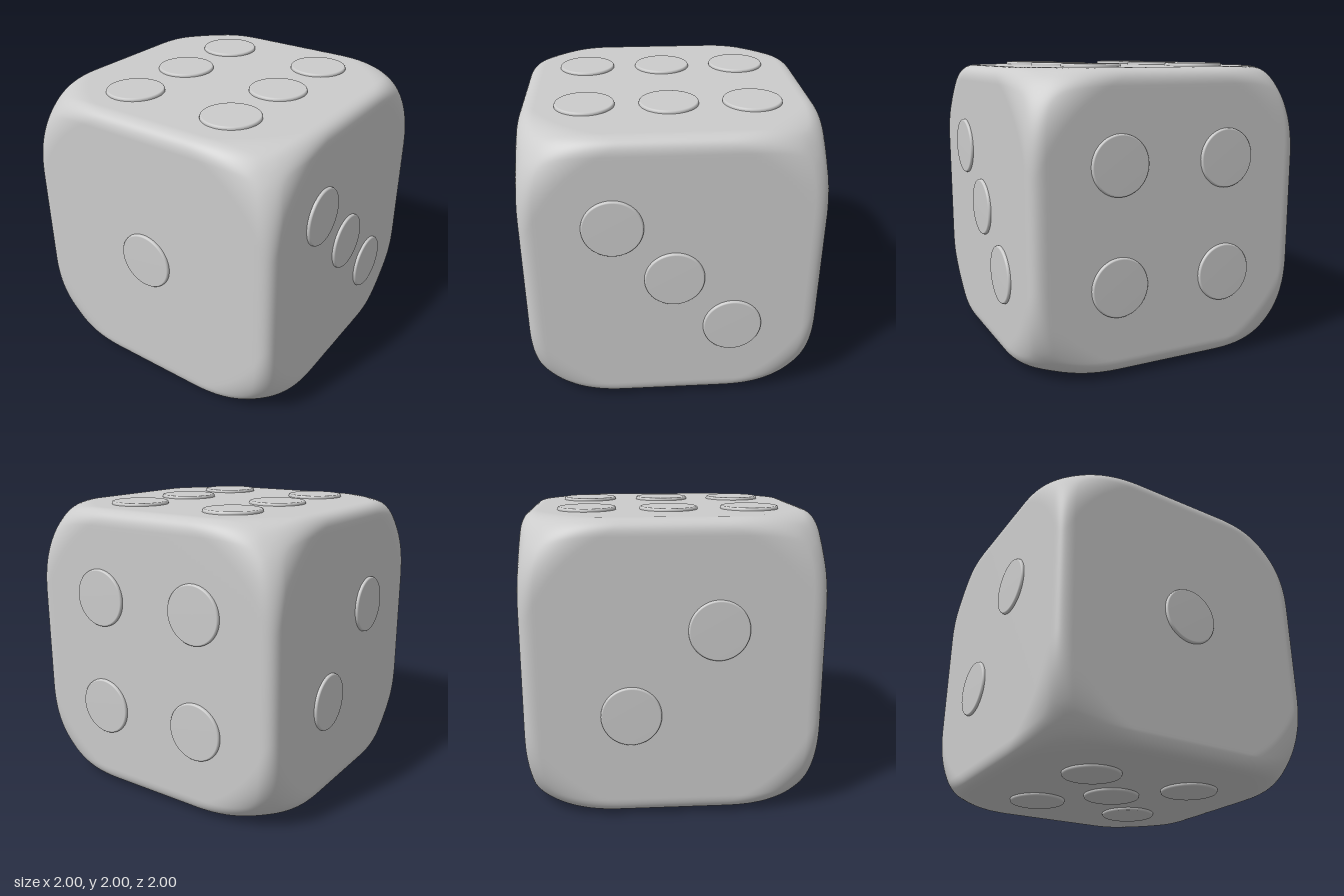
import * as THREE from 'three';

const HALF = 0.98;          // half width of the cube body
const EDGE = 0.11;          // width of the edge rounding
const BALL = 1.49;          // radius of the sphere that trims the corners
const BALL_BLEND = 0.1;     // softness of the corner trim
const material = new THREE.MeshStandardMaterial({ color: 0xcccccc });

// Maximum of two values with a rounded transition of width k
function smoothMax(a, b, k) {
  const h = Math.max(k - Math.abs(a - b), 0);
  return Math.max(a, b) + (h * h) / (4 * k);
}

// Field that is zero on the body: rounded cube trimmed by a sphere
function field(p) {
  const [a, b, c] = [Math.abs(p.x), Math.abs(p.y), Math.abs(p.z)].sort((m, n) => n - m);
  const cube = smoothMax(smoothMax(b, c, EDGE), a, EDGE) - HALF;
  return smoothMax(cube, p.length() - BALL, BALL_BLEND);
}

// Body: a fine cube grid pushed along its rays onto the field
function createBody() {
  const geometry = new THREE.BoxGeometry(2, 2, 2, 72, 72, 72);
  const pos = geometry.attributes.position;
  const normal = geometry.attributes.normal;
  const dir = new THREE.Vector3();
  const p = new THREE.Vector3();
  const n = new THREE.Vector3();
  const dense = (t) => 1.3 * t - 0.3 * t * t * t; // tighter grid near the edges
  const e = 1e-4;
  for (let i = 0; i < pos.count; i++) {
    dir.set(dense(pos.getX(i)), dense(pos.getY(i)), dense(pos.getZ(i)));
    let lo = 0.5, hi = 1.1;
    for (let j = 0; j < 30; j++) {
      const mid = (lo + hi) / 2;
      if (field(p.copy(dir).multiplyScalar(mid)) > 0) hi = mid;
      else lo = mid;
    }
    p.copy(dir).multiplyScalar(lo);
    pos.setXYZ(i, p.x, p.y, p.z);
    for (const axis of ['x', 'y', 'z']) {
      const v = p[axis];
      p[axis] = v + e;
      const up = field(p);
      p[axis] = v - e;
      n[axis] = up - field(p);
      p[axis] = v;
    }
    n.normalize();
    normal.setXYZ(i, n.x, n.y, n.z);
  }
  const body = new THREE.Mesh(geometry, material);
  body.name = 'body';
  return body;
}

// Pip: a low disc with a small rounded rim, rising along +y
function createPipGeometry() {
  const points = [[0.197, -0.02], [0.197, 0.006], [0.195, 0.013], [0.191, 0.018], [0.185, 0.02], [0, 0.02]];
  return new THREE.LatheGeometry(points.map(([r, y]) => new THREE.Vector2(r, y)), 64);
}

export function createModel() {
  const model = new THREE.Group();
  model.name = 'die';
  const core = new THREE.Group();
  core.name = 'dieCore';
  core.position.y = 1;
  core.add(createBody());

  const a = 0.39, b = 0.28, c = 0.55;
  const square = [[-a, -a], [a, -a], [-a, a], [a, a]];
  // Each face: outward direction, and pip positions on its two other axes in x, y, z order
  const faces = [
    ['frontPips', [0, 0, 1], [[0, 0]]],
    ['leftPips', [1, 0, 0], [[a, a], [0, 0], [-a, -a]]],
    ['rightPips', [-1, 0, 0], [[b, b], [-b, -b]]],
    ['backPips', [0, 0, -1], square],
    ['bottomPips', [0, -1, 0], [...square, [0, 0]]],
    ['topPips', [0, 1, 0], [-c, 0, c].flatMap((z) => [[-a, z], [a, z]])],
  ];
  const pipGeometry = createPipGeometry();
  const up = new THREE.Vector3(0, 1, 0);
  for (const [name, out, spots] of faces) {
    const group = new THREE.Group();
    group.name = name;
    const dir = new THREE.Vector3(...out);
    for (const spot of spots) {
      const pip = new THREE.Mesh(pipGeometry, material);
      pip.name = 'pip';
      let k = 0;
      pip.position.set(...out.map((o) => (o ? o * HALF : spot[k++])));
      pip.quaternion.setFromUnitVectors(up, dir);
      group.add(pip);
    }
    core.add(group);
  }
  model.add(core);
  return model;
}
